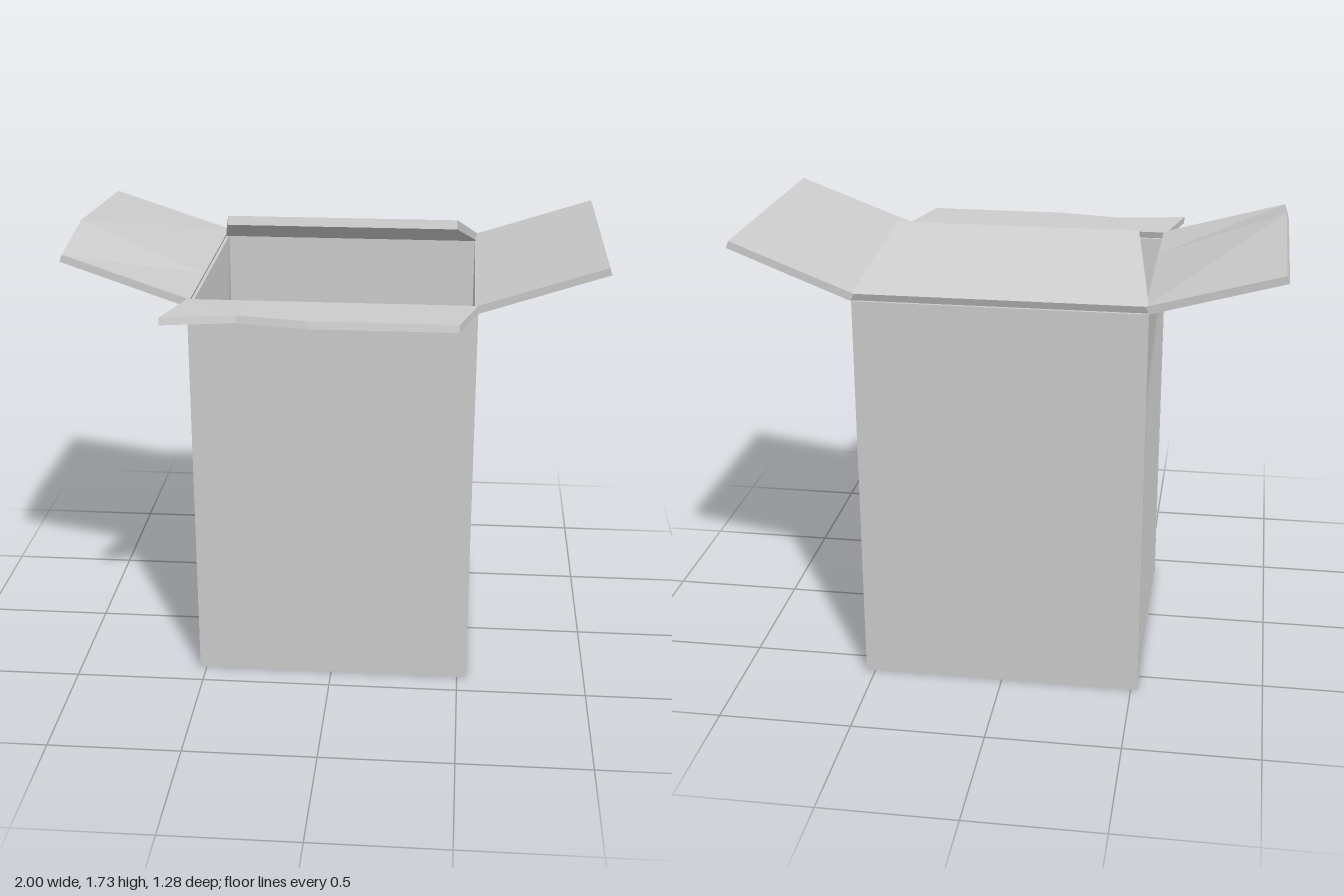
import * as THREE from 'three';

const material = new THREE.MeshStandardMaterial({ color: 0xcccccc, flatShading: true });
const X0 = -0.525, X1 = 0.535, Z0 = -0.6, Z1 = 0.4, H = 1.51, T = 0.012;

// Bent sheet with thickness: hinge and edge are matching rows of underside points,
// hingeLift and edgeLift lead from the underside to the top side.
function flap(name, hinge, edge, hingeLift, edgeLift) {
  const lift = (row, by) => row.map((p) => p.map((v, k) => v + by[k]));
  const hingeTop = lift(hinge, hingeLift), edgeTop = lift(edge, edgeLift);
  const pos = [];
  const quad = (a, b, c, d) => pos.push(...a, ...b, ...c, ...a, ...c, ...d);
  const n = hinge.length - 1;
  for (let i = 0; i < n; i++) {
    quad(hingeTop[i], edgeTop[i], edgeTop[i + 1], hingeTop[i + 1]);
    quad(hinge[i], hinge[i + 1], edge[i + 1], edge[i]);
    quad(edge[i], edge[i + 1], edgeTop[i + 1], edgeTop[i]);
    quad(hinge[i + 1], hinge[i], hingeTop[i], hingeTop[i + 1]);
  }
  quad(hinge[0], edge[0], edgeTop[0], hingeTop[0]);
  quad(edge[n], hinge[n], hingeTop[n], edgeTop[n]);
  const geo = new THREE.BufferGeometry();
  geo.setAttribute('position', new THREE.Float32BufferAttribute(pos, 3));
  geo.computeVertexNormals();
  const mesh = new THREE.Mesh(geo, material);
  mesh.name = name;
  return mesh;
}

// Flat panel given by its limits
function panel(name, x0, x1, y0, y1, z0, z1) {
  const geo = new THREE.BoxGeometry(x1 - x0, y1 - y0, z1 - z0);
  geo.translate((x0 + x1) / 2, (y0 + y1) / 2, (z0 + z1) / 2);
  const mesh = new THREE.Mesh(geo, material);
  mesh.name = name;
  return mesh;
}

// Side wall pushed in to a shallow point
function dentedWall(name) {
  const geo = new THREE.BoxGeometry(T, H, Z1 - Z0, 1, 20, 20);
  geo.translate(X0 + T / 2, H / 2, (Z0 + Z1) / 2);
  const p = geo.attributes.position;
  const cy = 0.4, cz = 0.67;
  for (let i = 0; i < p.count; i++) {
    const v = p.getY(i) / H, u = (p.getZ(i) - Z0) / (Z1 - Z0);
    const depth = Math.min(v / cy, (1 - v) / (1 - cy), u / cz, (1 - u) / (1 - cz));
    p.setX(i, p.getX(i) + 0.07 * Math.max(0, depth));
  }
  geo.computeVertexNormals();
  const smooth = material.clone();
  smooth.flatShading = false;
  const mesh = new THREE.Mesh(geo, smooth);
  mesh.name = name;
  return mesh;
}

export function createModel() {
  const box = new THREE.Group();
  box.name = 'openBox';

  // Floor and walls
  box.add(
    panel('floor', X0, X1, 0, T, Z0, Z1),
    panel('frontWall', X0, X1, 0, H, Z1 - T, Z1),
    panel('backWall', X0, X1, 0, H, Z0, Z0 + T),
    panel('leftWall', X1 - T, X1, 0, H, Z0, Z1),
    dentedWall('rightWall'),
  );

  // Front flap, nearly level with a notched edge
  box.add(flap('frontFlap',
    [[X0, H, Z1], [-0.26, H, Z1], [-0.03, H, Z1], [X1, H, Z1]],
    [[-0.585, 1.515, 0.635], [-0.32, 1.515, 0.588], [-0.06, 1.515, 0.635], [0.47, 1.515, 0.635]],
    [0, 0.027, -0.01], [0, 0.027, -0.006]));

  // Back flap, folded inward over the opening
  box.add(flap('backFlap',
    [[X0, H, Z0 + T], [X1, H, Z0 + T]],
    [[-0.455, 1.665, -0.185], [0.45, 1.665, -0.185]],
    [0, 0.028, -T], [0, 0.034, -0.01]));

  // Left flap, spread outward
  box.add(flap('leftFlap',
    [[X1, H, Z1], [X1, H, Z0]],
    [[1, 1.675, 0.432], [1, 1.675, -0.557]],
    [-0.01, 0.028, 0], [-0.01, 0.026, 0]));

  // Right flap, spread outward and creased across the middle
  box.add(flap('rightFlap',
    [[X0, H, Z0], [X0, H, 0.07], [X0, H, Z1]],
    [[-1, 1.655, -0.642], [-1, 1.702, 0.03], [-1, 1.655, 0.35]],
    [0.012, 0.028, 0], [0.01, 0.027, 0]));

  return box;
}
